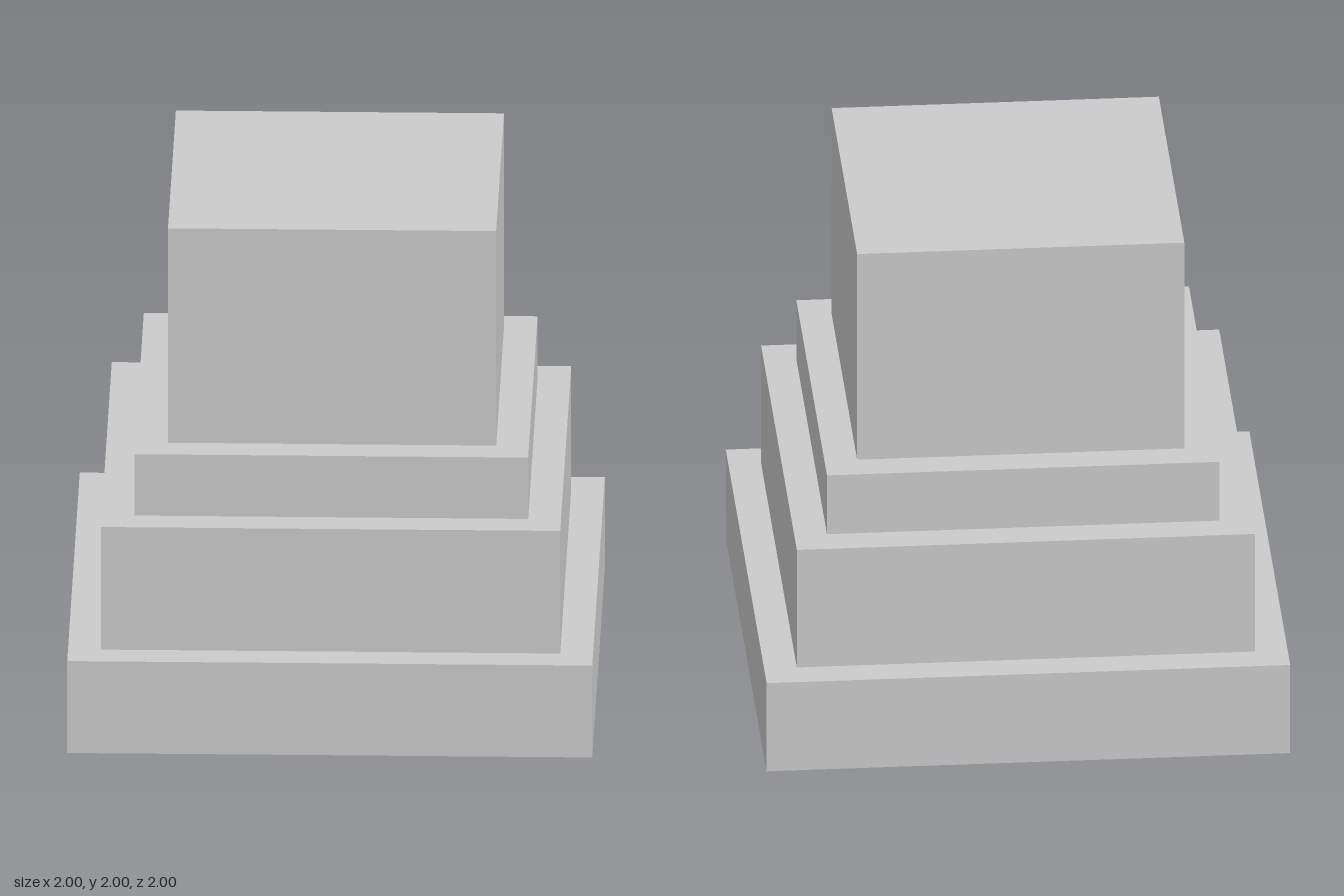
import * as THREE from 'three';

// Square tiers from the ground up
const TIERS = [
  { name: 'baseTier', width: 2, height: 0.375 },
  { name: 'lowerTier', width: 1.75, height: 0.5 },
  { name: 'upperTier', width: 1.5, height: 0.25 },
  { name: 'topBlock', width: 1.25, height: 0.875 },
];

export function createModel() {
  const model = new THREE.Group();
  model.name = 'steppedPedestal';
  const material = new THREE.MeshStandardMaterial({ color: 0xcccccc, flatShading: true });

  // Stack each tier on the one below
  let y = 0;
  for (const { name, width, height } of TIERS) {
    const tier = new THREE.Mesh(new THREE.BoxGeometry(width, height, width), material);
    tier.name = name;
    tier.position.y = y + height / 2;
    model.add(tier);
    y += height;
  }
  return model;
}
